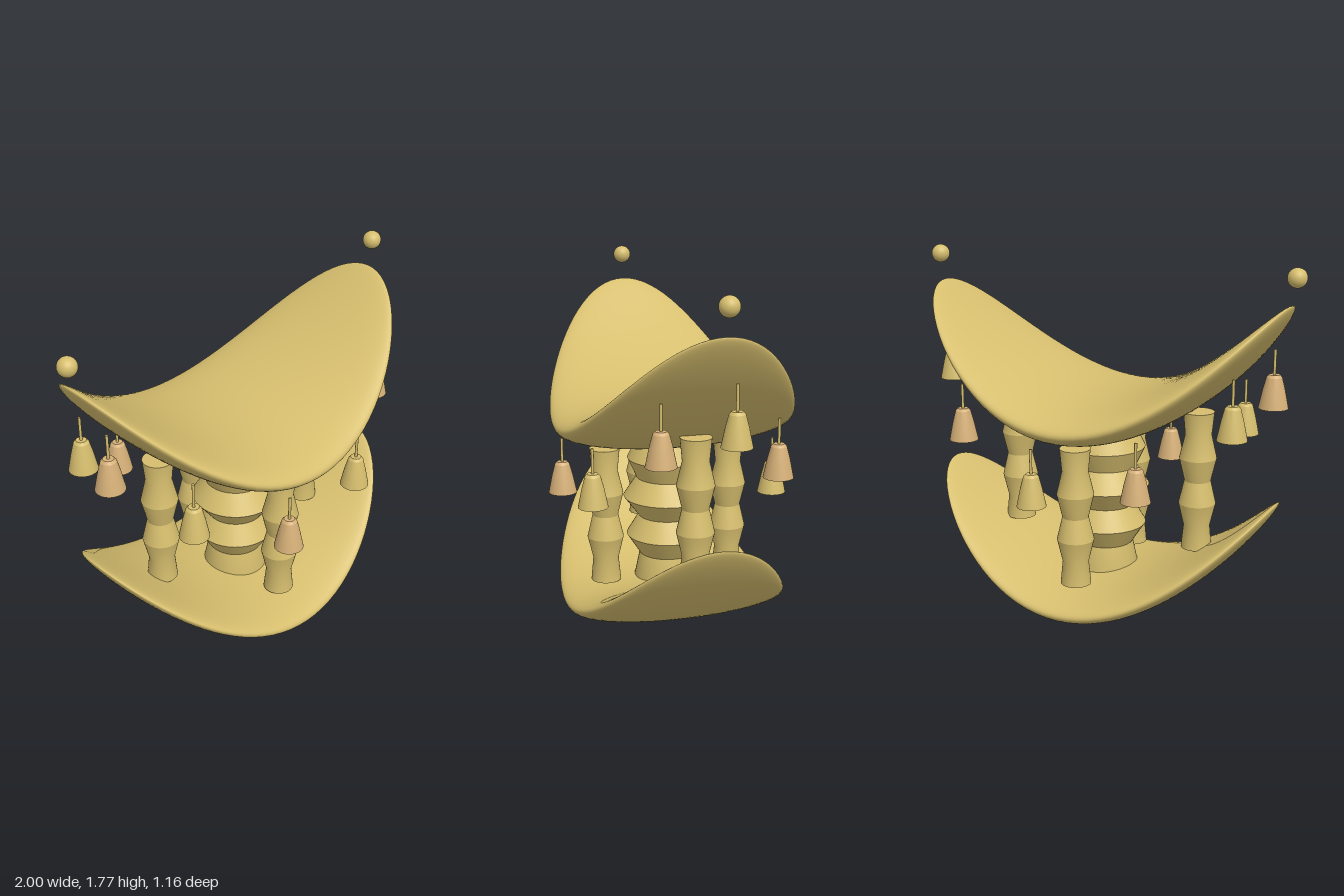
import * as THREE from 'three';
import { toCreasedNormals } from 'three/addons/utils/BufferGeometryUtils.js';

const BEND = 0.667; // every level rises with x squared

export function createModel() {
  const model = new THREE.Group();
  model.name = 'curvedPavilion';

  const gold = new THREE.MeshStandardMaterial({ color: 0xd6be6e });
  gold.name = 'gold';
  const tan = new THREE.MeshStandardMaterial({ color: 0xd6b078 });
  tan.name = 'tan';

  function add(parent, name, geometry, material, x = 0, y = 0, z = 0) {
    const mesh = new THREE.Mesh(geometry, material);
    mesh.name = name;
    mesh.position.set(x, y, z);
    parent.add(mesh);
    return mesh;
  }

  // Turned shape from [radius, height] pairs, with crisp rings
  function turned(points, sides = 32) {
    const profile = points.map(([r, y]) => new THREE.Vector2(r, y));
    return toCreasedNormals(new THREE.LatheGeometry(profile, sides), 0.38);
  }

  // Flattened ellipsoid bent upwards at both ends
  function bentDish(rx, ry, rz) {
    const g = new THREE.SphereGeometry(1, 96, 64).scale(rx, ry, rz);
    const p = g.attributes.position, n = g.attributes.normal;
    const v = new THREE.Vector3();
    for (let i = 0; i < p.count; i++) {
      const x = p.getX(i);
      p.setY(i, p.getY(i) + BEND * x * x);
      v.fromBufferAttribute(n, i);
      v.x -= 2 * BEND * x * v.y;
      v.normalize();
      n.setXYZ(i, v.x, v.y, v.z);
    }
    return g;
  }

  // Roof and base
  add(model, 'roof', bentDish(0.933, 0.115, 0.565), gold, 0, 1.005, 0);
  add(model, 'base', bentDish(0.9, 0.1, 0.535), gold, 0, 0.1, 0);

  // Floating balls above the roof tips
  for (const side of [-1, 1]) {
    add(model, side > 0 ? 'leftBall' : 'rightBall',
      new THREE.SphereGeometry(0.046, 32, 20), gold, side * 0.954, 1.72, 0);
  }

  // Wide central column
  add(model, 'centralColumn', turned([
    [0, 0.17], [0.165, 0.17], [0.165, 0.2], [0.14, 0.32], [0.205, 0.42], [0.145, 0.52],
    [0.22, 0.62], [0.155, 0.72], [0.2, 0.82], [0.145, 0.93], [0, 0.93],
  ], 40), gold);

  // Four slim columns around it
  const radii = [0.075, 0.064, 0.091, 0.064, 0.091, 0.064, 0.075];
  const slim = turned([
    [0, 0], ...radii.map((r, i) => [r, i * 0.1145]), [0, 0.687],
  ]);
  for (const [name, x, z] of [
    ['leftColumn', 0.5, 0], ['rightColumn', -0.5, 0],
    ['frontColumn', 0, 0.32], ['backColumn', 0, -0.32],
  ]) {
    add(model, name, slim, gold, x, 0.2 + BEND * x * x, z);
  }

  // Ring of ten hanging bells in alternating colours
  const bellShape = turned([
    [0, 0], [0.071, 0], [0.052, 0.09], [0.037, 0.147], [0.026, 0.16], [0, 0.16],
  ]);
  const rodShape = new THREE.CylinderGeometry(0.007, 0.007, 0.125, 10);
  for (let i = 0; i < 10; i++) {
    const a = THREE.MathUtils.degToRad(36 * i - 9);
    const x = 0.85 * Math.cos(a), z = 0.515 * Math.sin(a);
    const hanger = new THREE.Group();
    hanger.name = 'hangingBell' + (i + 1);
    hanger.position.set(x, 0.623 + BEND * x * x, z);
    add(hanger, 'bell', bellShape, i % 2 ? tan : gold);
    add(hanger, 'rod', rodShape, gold, 0, 0.2175, 0);
    model.add(hanger);
  }

  return model;
}
